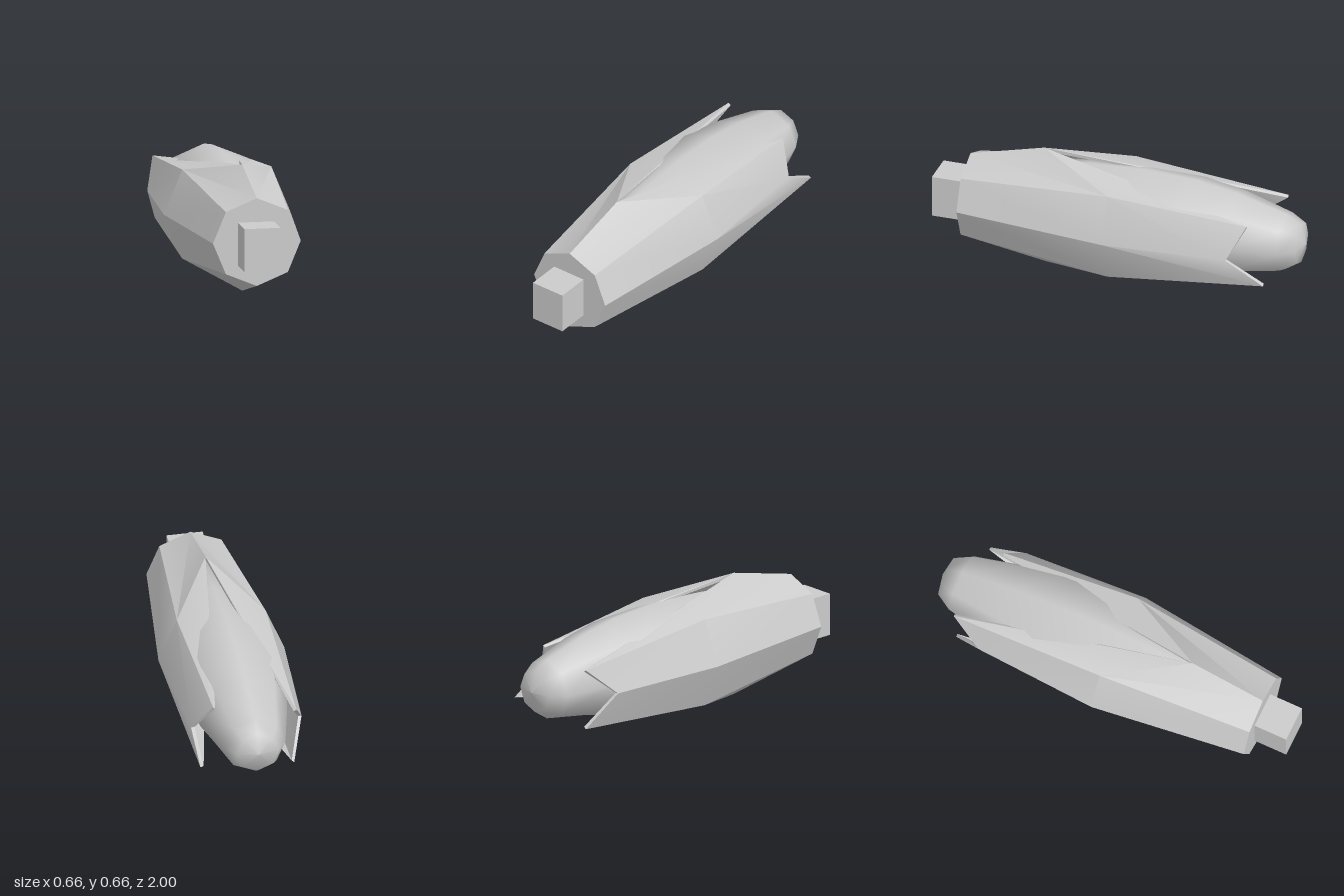
import * as THREE from 'three';
import { toCreasedNormals } from 'three/addons/utils/BufferGeometryUtils.js';

const AXIS = 0.33; // height of the ear's long axis
const MAT = new THREE.MeshStandardMaterial({ color: 0xcccccc, side: THREE.DoubleSide });

// Point at an angle around the long axis, for the +x half.
const polar = (deg, r, z) => {
  const a = THREE.MathUtils.degToRad(deg);
  return new THREE.Vector3(Math.cos(a) * r, AXIS + Math.sin(a) * r, z);
};

// Half of the husk: five lengthwise ribs, split at top and bottom, ending in two points.
function huskLeaf(name, side, upperTip, notch, lowerTip) {
  const p = [
    polar(90, 0.23, 0.82), polar(90, 0.33, 0.42),
    polar(45, 0.23, 0.82), polar(45, 0.33, 0), upperTip,
    polar(0, 0.23, 0.82), polar(0, 0.33, 0), notch,
    polar(-45, 0.23, 0.82), polar(-45, 0.33, 0), lowerTip,
    polar(-90, 0.23, 0.82), polar(-90, 0.33, 0.42),
  ];
  // Inner skin is the outer one drawn in towards the axis
  const inner = p.map((v) => new THREE.Vector3(v.x * 0.94, AXIS + (v.y - AXIS) * 0.94, v.z));
  const verts = [];
  const tri = (a, b, c) => (side > 0 ? [a, b, c] : [a, c, b])
    .forEach((v) => verts.push(v.x * side, v.y, v.z));
  const panels = [
    [0, 2, 3], [0, 3, 1], [1, 3, 4],
    [2, 5, 6], [2, 6, 3], [3, 6, 7], [3, 7, 4],
    [5, 8, 9], [5, 9, 6], [6, 9, 10], [6, 10, 7],
    [8, 11, 12], [8, 12, 9], [9, 12, 10],
  ];
  for (const [a, b, c] of panels) {
    tri(p[a], p[c], p[b]);
    tri(inner[a], inner[b], inner[c]);
  }
  // Rim joining the two skins
  const rim = [0, 1, 4, 7, 10, 12, 11];
  for (let i = 0; i < rim.length - 1; i++) {
    const a = rim[i], b = rim[i + 1];
    tri(p[a], inner[b], p[b]);
    tri(p[a], inner[a], inner[b]);
  }
  let geo = new THREE.BufferGeometry();
  geo.setAttribute('position', new THREE.Float32BufferAttribute(verts, 3));
  // make outward winding match the computed normals
  const pos = geo.attributes.position;
  const a = new THREE.Vector3().fromBufferAttribute(pos, 0);
  const b = new THREE.Vector3().fromBufferAttribute(pos, 1);
  const c = new THREE.Vector3().fromBufferAttribute(pos, 2);
  const n = b.sub(a).cross(c.sub(a));
  if (n.y < 0) {
    for (let i = 0; i < pos.count; i += 3) {
      const v = new THREE.Vector3().fromBufferAttribute(pos, i + 1);
      pos.setXYZ(i + 1, pos.getX(i + 2), pos.getY(i + 2), pos.getZ(i + 2));
      pos.setXYZ(i + 2, v.x, v.y, v.z);
    }
  }
  geo = toCreasedNormals(geo, 0.5);
  const mesh = new THREE.Mesh(geo, MAT);
  mesh.name = name;
  return mesh;
}

// Eight-sided cob: [radius, z, centre height], from the tip towards the stalk
function makeCob() {
  const rows = [
    [0, -1, 0.34], [0.11, -0.975, 0.34], [0.16, -0.89, 0.335], [0.222, -0.62, 0.352],
    [0.265, -0.4, 0.346], [0.288, -0.13, 0.338], [0.28, 0.2, 0.33], [0.22, 0.6, 0.33], [0, 0.7, 0.33],
  ];
  const geo = new THREE.LatheGeometry(rows.map(([r, z]) => new THREE.Vector2(r, z)), 8);
  geo.rotateX(Math.PI / 2);
  const pos = geo.attributes.position;
  for (let i = 0; i < pos.count; i++) pos.setY(i, pos.getY(i) + rows[i % rows.length][2]);
  const mesh = new THREE.Mesh(geo, MAT);
  mesh.name = 'cob';
  return mesh;
}

export function createModel() {
  const group = new THREE.Group();
  const v = (x, y, z) => new THREE.Vector3(x, y, z);

  group.add(makeCob());
  group.add(huskLeaf('leftHuskLeaf', 1, v(0.19, 0.49, -0.74), v(0.29, AXIS, -0.66), v(0.28, 0.21, -0.86)));
  group.add(huskLeaf('rightHuskLeaf', -1, v(0.23, 0.48, -0.83), v(0.29, AXIS, -0.66), v(0.22, 0.155, -0.82)));

  // Flat end closing the husk around the stalk
  const base = new THREE.Mesh(new THREE.CircleGeometry(0.23, 8), MAT);
  base.name = 'huskBase';
  base.position.set(0, AXIS, 0.82);
  group.add(base);

  const stalk = new THREE.Mesh(new THREE.BoxGeometry(0.19, 0.225, 0.2), MAT);
  stalk.name = 'stalk';
  stalk.position.set(-0.005, 0.323, 0.9);
  group.add(stalk);
  return group;
}
